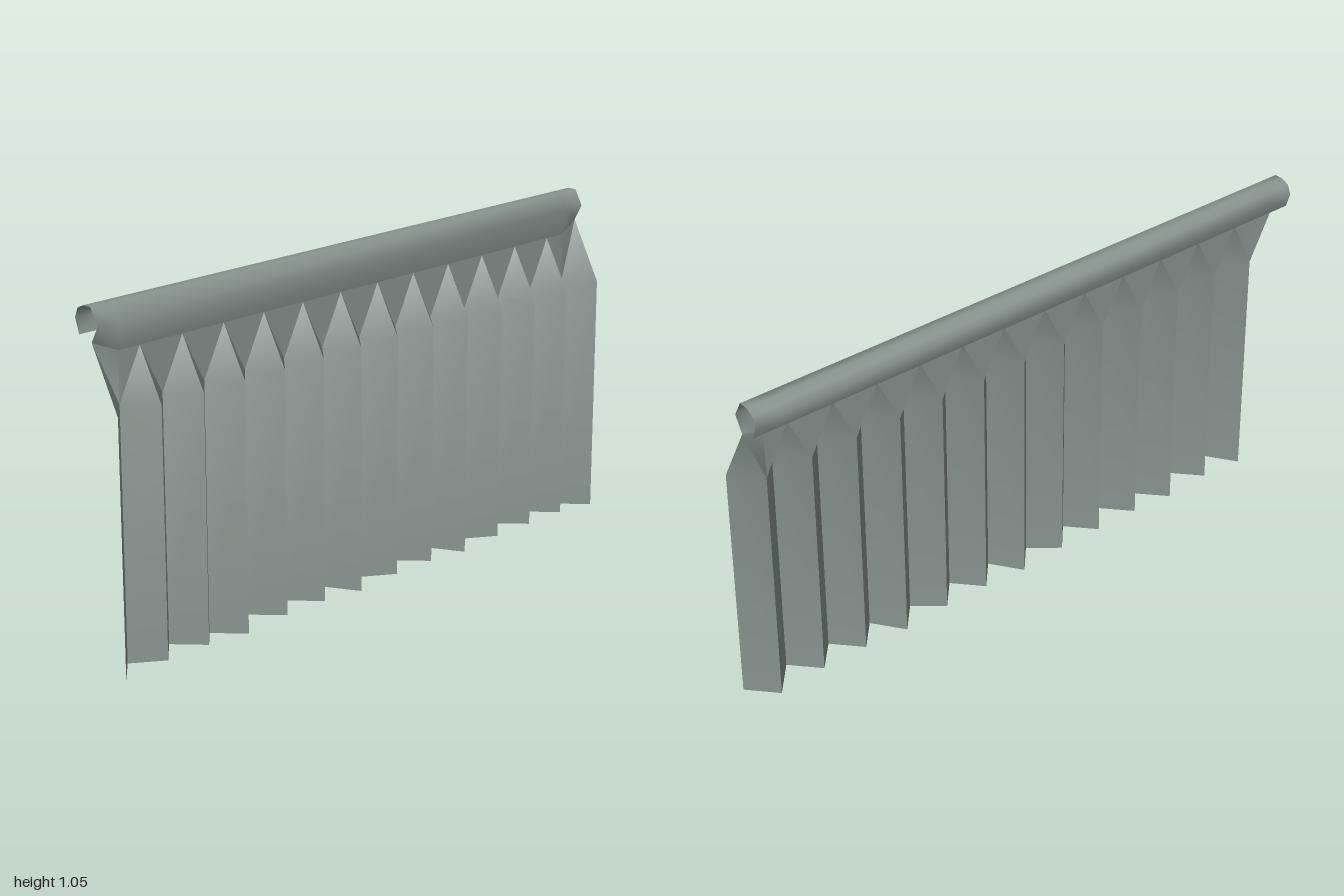
import * as THREE from 'three';
import { toCreasedNormals } from 'three/addons/utils/BufferGeometryUtils.js';

// Surface through rows of points (rows run upward, columns run toward +x).
// The quad diagonal alternates with the column so that pleats fold symmetrically.
function sheet(rows, crease) {
  const n = rows[0].length;
  const index = [];
  for (let r = 0; r < rows.length - 1; r++) {
    for (let c = 0; c < n - 1; c++) {
      const a = r * n + c, b = a + 1, d = a + n, e = d + 1;
      if (c % 2) index.push(a, b, e, a, e, d);
      else index.push(a, b, d, b, e, d);
    }
  }
  const geometry = new THREE.BufferGeometry();
  geometry.setAttribute('position', new THREE.Float32BufferAttribute(rows.flat(2), 3));
  geometry.setIndex(index);
  return toCreasedNormals(geometry, crease);
}

export function createModel() {
  const group = new THREE.Group();
  const cloth = new THREE.MeshStandardMaterial({ color: 0x87938e, side: THREE.DoubleSide });
  cloth.name = 'greyGreenCloth';

  const add = (name, geometry) => {
    const mesh = new THREE.Mesh(geometry, cloth);
    mesh.name = name;
    group.add(mesh);
  };

  // Pleated curtain: even columns stand forward, and all are gathered at the top
  const folds = 26;
  const lowHem = [0, 1, 5, 6, 12, 13, 18, 19, 25, 26];
  const hem = [], shoulder = [], gather = [];
  for (let i = 0; i <= folds; i++) {
    const x = -1 + (2 * i) / folds;
    const z = i % 2 ? 0 : 0.085;
    const end = i === 0 || i === folds;
    hem.push([x, lowHem.includes(i) ? 0 : 0.012, z]);
    shoulder.push([x, 0.763, z]);
    gather.push(end ? [x, 0.95, -0.015] : [x, 0.917, 0]);
  }
  add('pleatedCurtain', sheet([hem, shoulder, gather], 0.8));

  // Header band that curls backward into an open hook, as [z, y]
  const curl = [[0.012, 1.0], [-0.015, 1.049], [-0.045, 1.049], [-0.07, 1.037], [-0.082, 1.008], [-0.067, 0.963]];
  const columns = [-1, -1 + 2 / folds, 1 - 2 / folds, 1];
  const rows = [[gather[0], gather[1], gather[folds - 1], gather[folds]]];
  for (const [z, y] of curl) rows.push(columns.map((x) => [x, y, z]));
  add('headerHook', sheet(rows, 1.15));

  return group;
}
